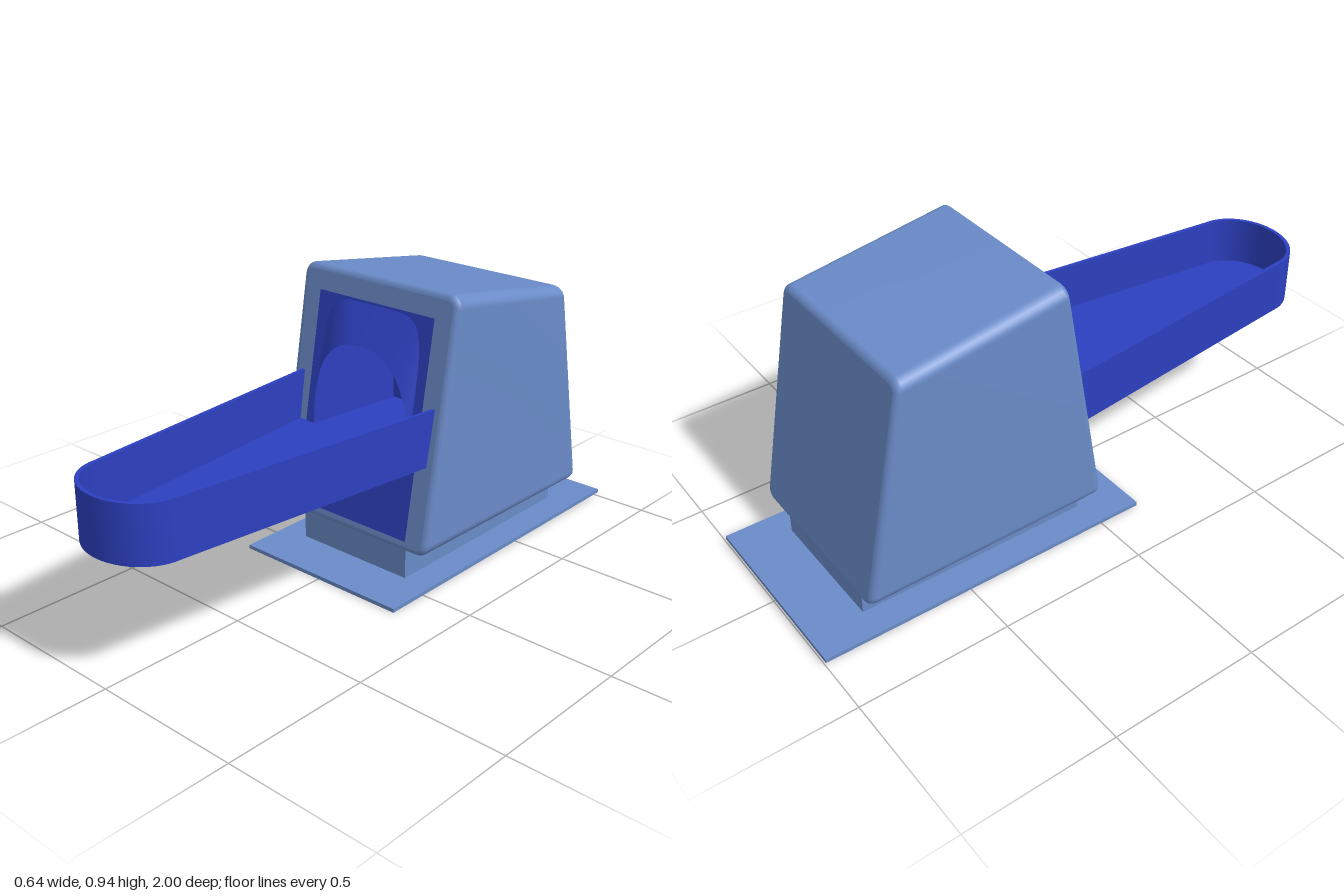
import * as THREE from 'three';
import { toCreasedNormals } from 'three/addons/utils/BufferGeometryUtils.js';

const material = (color, side = THREE.FrontSide) => new THREE.MeshStandardMaterial({ color, side });
const { lerp } = THREE.MathUtils;
const BOTTOM = 0.122, TOP = 0.943, FLOOR = 0.43;

// Housing space: x, y as measured on the front face, t from 0 (front) to 1 (rear).
function place(x, y, t) {
  const v = (y - BOTTOM) / (TOP - BOTTOM);
  const z = lerp(lerp(0, -0.14, v), lerp(-0.845, -0.7, v), t);
  return new THREE.Vector3(x, lerp(BOTTOM, lerp(TOP, 0.855, t), v), z);
}

function taper(geometry) {
  const p = geometry.attributes.position;
  for (let i = 0; i < p.count; i++) {
    const q = place(p.getX(i), p.getY(i), -p.getZ(i));
    p.setXYZ(i, q.x, q.y, q.z);
  }
  geometry.computeVertexNormals();
  return geometry;
}

// Skin between counter-clockwise loops listed from front to rear.
function loft(loops, closed) {
  const n = loops[0].length, index = [];
  for (let j = 0; j + 1 < loops.length; j++) {
    for (let i = 0; i < (closed ? n : n - 1); i++) {
      const a = j * n + i, b = j * n + ((i + 1) % n);
      index.push(a, a + n, b, b, a + n, b + n);
    }
  }
  const geometry = new THREE.BufferGeometry().setFromPoints(loops.flat());
  geometry.setIndex(index);
  geometry.computeVertexNormals();
  return geometry;
}

// Rounded rectangle outline of the housing, pulled in by an inset.
function housingOutline(inset) {
  const points = [], r = 0.042 - inset, w = 0.317 - 0.042;
  const corners = [[w, TOP - 0.042], [-w, TOP - 0.042], [-w, BOTTOM + 0.042], [w, BOTTOM + 0.042]];
  corners.forEach(([cx, cy], c) => {
    for (let k = 0; k <= 6; k++) {
      const a = (c + k / 6) * Math.PI / 2;
      points.push(new THREE.Vector2(cx + r * Math.cos(a), cy + r * Math.sin(a)));
    }
  });
  return points;
}

function rectangle(w, y0, y1, Type = THREE.Shape) {
  return new Type([[-w, y0], [w, y0], [w, y1], [-w, y1]].map(([x, y]) => new THREE.Vector2(x, y)));
}

// Arch of half width 0.2 standing on the floor; a higher power is squarer.
function arch(height, power, toPoint) {
  return Array.from({ length: 33 }, (_, i) => {
    const a = (i / 32) * Math.PI, c = Math.cos(a);
    return toPoint(0.2 * Math.sign(c) * Math.abs(c) ** (2 / power),
      FLOOR + height * Math.abs(Math.sin(a)) ** (2 / power));
  });
}

// Tray plan in x, z: straight tapering sides and a rounded nose.
function trayPlan(inset, back, reverse = false) {
  const w = 0.177 - inset, wide = lerp(0.28, 0.177, (back + 0.08) / 0.93) - inset;
  const points = [[wide, back]];
  for (let i = 0; i <= 24; i++) {
    const a = (i / 24) * Math.PI;
    points.push([w * Math.cos(a), 0.85 + (0.15 - inset) * Math.sin(a)]);
  }
  points.push([-wide, back]);
  const list = points.map(([x, z]) => new THREE.Vector2(x, z));
  return reverse ? list.reverse() : list;
}

function slab(points, depth, topY) {
  const geometry = new THREE.ExtrudeGeometry(new THREE.Shape(points), { depth, bevelEnabled: false });
  geometry.rotateX(Math.PI / 2).translate(0, topY, 0);
  return toCreasedNormals(geometry, 0.5);
}

export function createModel() {
  const model = new THREE.Group();
  const pale = material(0x6a8bc8), blue = material(0x2c40c0);
  const add = (name, geometry, mat, parent = model) => {
    const mesh = new THREE.Mesh(geometry, mat);
    mesh.name = name;
    parent.add(mesh);
    return mesh;
  };

  // Base plate, slightly higher at the rear, and pedestal
  const plate = add('basePlate', new THREE.BoxGeometry(0.636, 0.013, 1.145), pale);
  plate.position.set(0, 0.015, -0.427);
  plate.rotation.x = 0.012;
  add('pedestal', new THREE.BoxGeometry(0.44, 0.115, 0.795), pale).position.set(0, 0.075, -0.4225);

  // Housing: rounded skin, a front with an opening and a closed back
  const housing = new THREE.Group();
  housing.name = 'housing';
  model.add(housing);
  const bevel = 0.02, loops = [];
  for (const rear of [false, true]) {
    for (let k = 0; k <= 4; k++) {
      const a = ((rear ? 4 - k : k) / 4) * Math.PI / 2;
      const t = 0.03 * (1 - Math.cos(a));
      loops.push(housingOutline(bevel * (1 - Math.sin(a))).map(p => place(p.x, p.y, rear ? 1 - t : t)));
    }
  }
  add('housingSkin', loft(loops, true), pale, housing);
  const front = new THREE.Shape(housingOutline(bevel));
  front.holes.push(rectangle(0.21, 0.42, 0.85, THREE.Path));
  add('housingFront', taper(new THREE.ShapeGeometry(front)), pale, housing);
  const backGeometry = new THREE.ShapeGeometry(new THREE.Shape(housingOutline(bevel)));
  backGeometry.rotateY(Math.PI).translate(0, 0, -1);
  add('housingBack', taper(backGeometry), pale, housing);

  // Front panel around the hood
  const panel = rectangle(0.235, 0.16, 0.862);
  panel.holes.push(new THREE.Path(arch(0.425, 6, (x, y) => new THREE.Vector2(x, y))));
  add('frontPanel', taper(new THREE.ShapeGeometry(panel).translate(0, 0, 0.004)), blue);

  // Hood running from the panel out to the arched mouth
  const mouth = arch(0.31, 2.4, (x, y) => new THREE.Vector3(x, y, -0.05));
  const root = arch(0.425, 6, (x, y) => place(x, y, -0.004));
  add('hood', loft([mouth, root], false), material(0x2c40c0, THREE.DoubleSide));

  // Hollow chamber behind the mouth, seen from inside
  const chamber = new THREE.BoxGeometry(0.41, 0.43, 0.55).translate(0, FLOOR + 0.21, -0.275);
  add('chamber', taper(chamber), material(0x2c40c0, THREE.BackSide));

  // Tray with a thin raised rim
  const tray = new THREE.Group();
  tray.name = 'tray';
  model.add(tray);
  add('trayRim', slab([...trayPlan(0, -0.08), ...trayPlan(0.013, -0.08, true)], 0.183, 0.593), blue, tray);
  add('trayFloor', slab(trayPlan(0.006, -0.055), 0.018, 0.43), blue, tray);

  return model;
}
